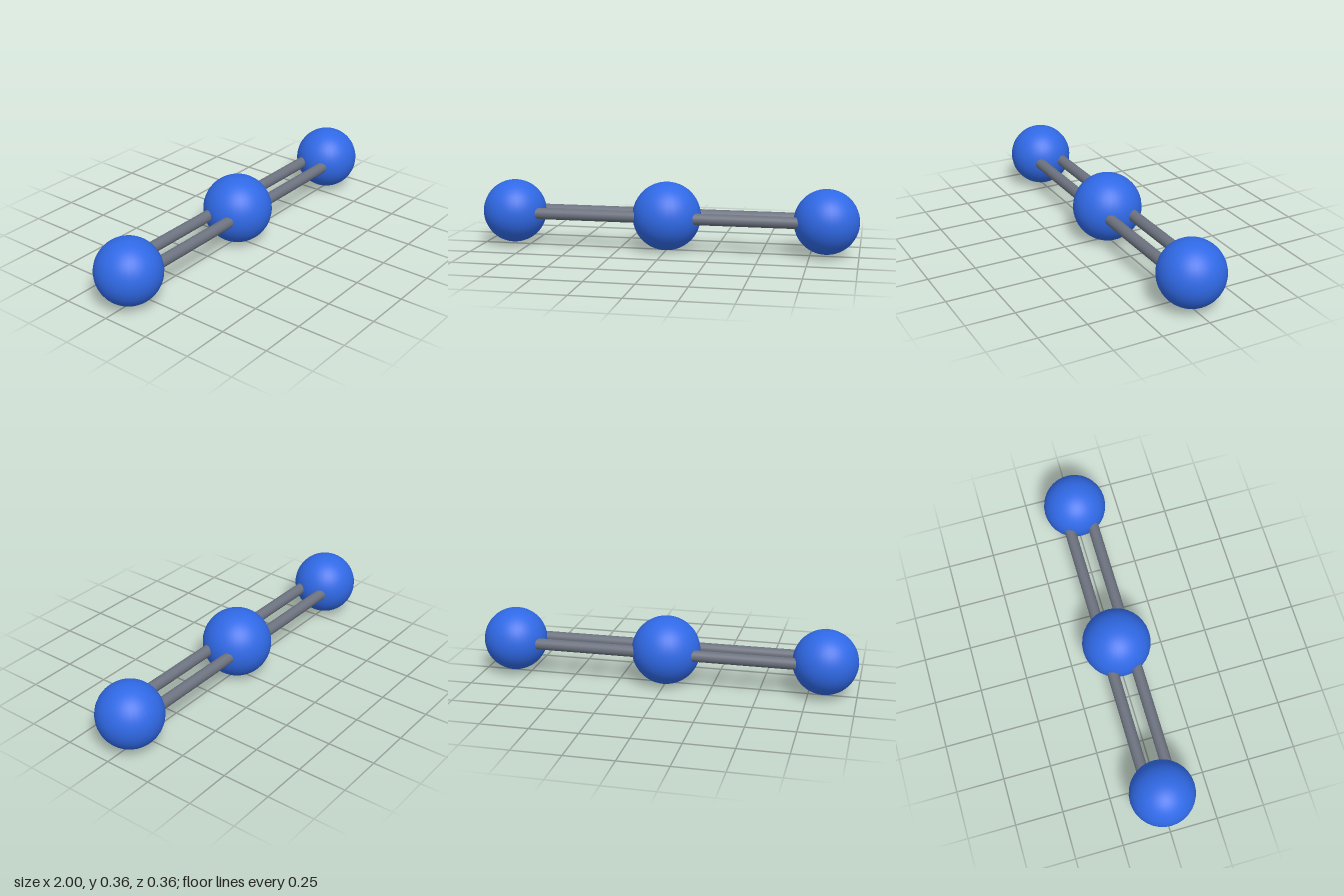
import * as THREE from 'three';

export function createModel() {
  const model = new THREE.Group();
  const blue = new THREE.MeshStandardMaterial({ color: 0x3069e6 });
  blue.name = 'atom blue';
  const grey = new THREE.MeshStandardMaterial({ color: 0x6c727f });
  grey.name = 'bond grey';

  const centreY = 0.18;
  const endX = 0.832;

  function addAtom(name, radius, x) {
    const atom = new THREE.Mesh(new THREE.SphereGeometry(radius, 32, 32), blue);
    atom.name = name;
    atom.position.set(x, centreY, 0);
    model.add(atom);
  }

  // Three balls in a row, the middle one slightly larger
  addAtom('centreAtom', 0.18, 0);
  addAtom('leftAtom', 0.168, endX);
  addAtom('rightAtom', 0.168, -endX);

  // A pair of parallel rods on each side, running between ball centres
  const rod = new THREE.CylinderGeometry(0.03, 0.03, endX, 24).rotateZ(Math.PI / 2);
  for (const side of [1, -1]) {
    const bond = new THREE.Group();
    bond.name = side > 0 ? 'leftDoubleBond' : 'rightDoubleBond';
    for (const z of [0.064, -0.064]) {
      const bar = new THREE.Mesh(rod, grey);
      bar.name = z > 0 ? 'frontRod' : 'backRod';
      bar.position.set((side * endX) / 2, centreY, z);
      bond.add(bar);
    }
    model.add(bond);
  }

  return model;
}
